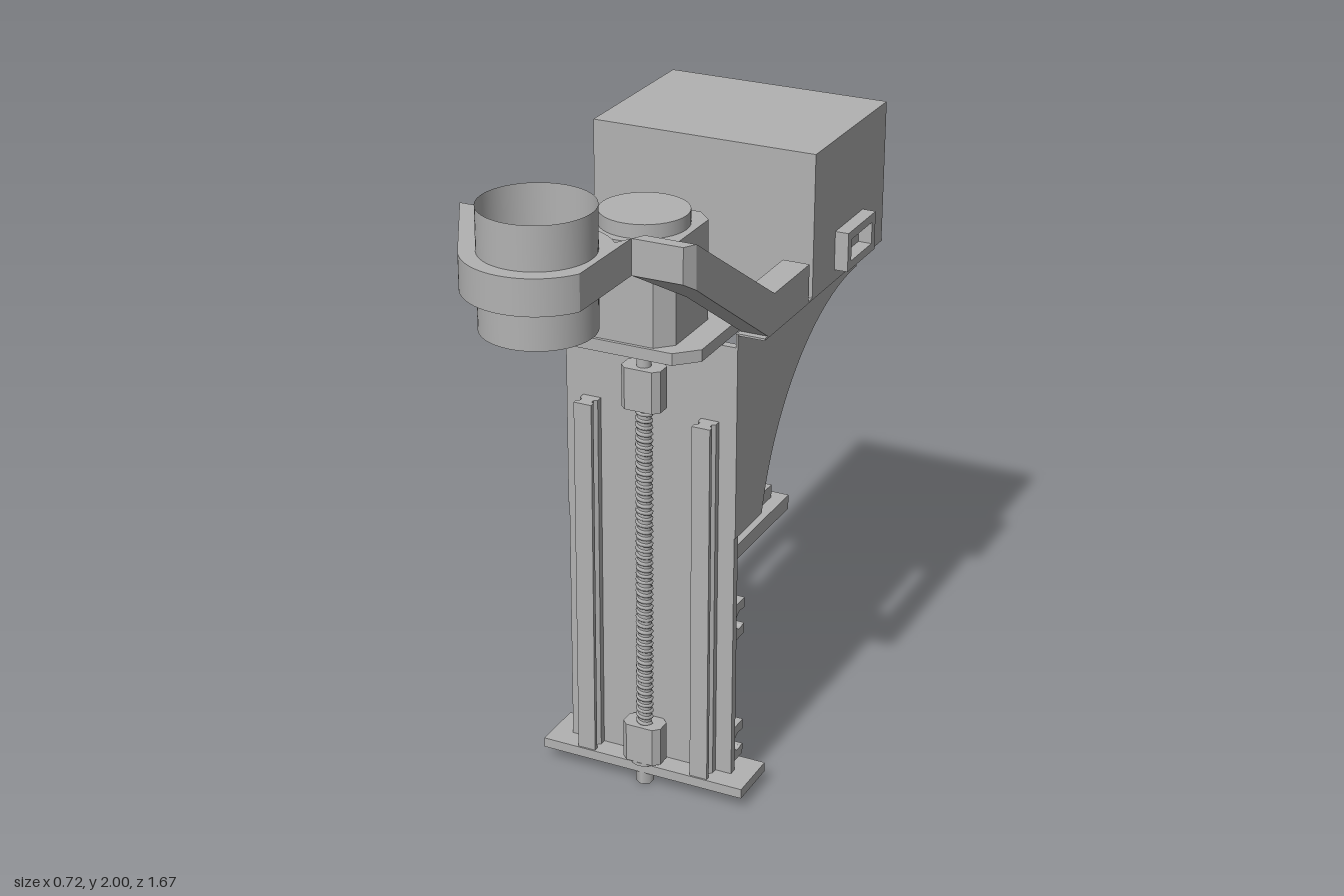
import * as THREE from 'three';

export function createModel() {
  const model = new THREE.Group();
  const body = new THREE.Group();
  body.name = 'machineBody';
  body.position.x = -0.02;
  model.add(body);
  const grey = new THREE.MeshStandardMaterial({ color: 0xb2b2b2, side: THREE.DoubleSide });
  grey.name = 'plainGrey';

  const add = (name, geo, x = 0, y = 0, z = 0) => {
    const m = new THREE.Mesh(geo, grey);
    m.name = name;
    m.position.set(x, y, z);
    body.add(m);
    return m;
  };
  // box from its limits
  const box = (name, x0, x1, y0, y1, z0, z1) =>
    add(name, new THREE.BoxGeometry(x1 - x0, y1 - y0, z1 - z0), (x0 + x1) / 2, (y0 + y1) / 2, (z0 + z1) / 2);
  // upright cylinder from its limits
  const cyl = (name, r, y0, y1, z, sides = 40) =>
    add(name, new THREE.CylinderGeometry(r, r, y1 - y0, sides), 0, (y0 + y1) / 2, z);
  const poly = (pts) => new THREE.Shape(pts.map(p => new THREE.Vector2(p[0], p[1])));
  const extrude = (shape, depth) =>
    new THREE.ExtrudeGeometry(shape, { depth, bevelEnabled: false, curveSegments: 40 });
  // plan outline (x, z) raised from y0 to y1
  const plan = (name, shape, y0, y1, x = 0, z = 0) =>
    add(name, extrude(shape, y1 - y0).rotateX(Math.PI / 2), x, y1, z);
  // side outline (z, y) spread from x0 to x1
  const side = (name, shape, x0, x1) =>
    add(name, extrude(shape, x1 - x0).rotateY(-Math.PI / 2), x1, 0, 0);
  // rectangle with cut corners
  const cutRect = (w, d, c) => poly([
    [w - c, -d], [w, -d + c], [w, d - c], [w - c, d],
    [-w + c, d], [-w, d - c], [-w, -d + c], [-w + c, -d]]);
  // rectangular frame
  const frame = (x0, x1, y0, y1, t) => {
    const s = poly([[x0, y0], [x1, y0], [x1, y1], [x0, y1]]);
    s.holes.push(poly([[x0 + t, y0 + t], [x0 + t, y1 - t], [x1 - t, y1 - t], [x1 - t, y0 + t]]));
    return s;
  };

  // column and foot
  box('basePlate', -0.3225, 0.3225, 0.04, 0.07, -0.095, 0.07);
  box('backPlate', -0.26, 0.26, 0.07, 1.42, -0.02, 0.005);

  // linear rails with a waisted section
  const railShape = poly([[-0.0275, 0], [0.0275, 0], [0.0275, 0.02], [0.018, 0.028], [0.018, 0.038],
    [0.0275, 0.046], [0.0275, 0.06], [-0.0275, 0.06], [-0.0275, 0.046], [-0.018, 0.038],
    [-0.018, 0.028], [-0.0275, 0.02]]);
  for (const s of [-1, 1]) plan('linearRail', railShape, 0.07, 1.19, s * 0.1825, 0.005);

  // lead screw with a helical thread
  const zs = 0.045;
  cyl('leadScrewCore', 0.02, 0.02, 1.25, zs, 20);
  class Helix extends THREE.Curve {
    getPoint(t, target = new THREE.Vector3()) {
      const a = t * 50 * Math.PI * 2;
      return target.set(0.02 * Math.cos(a), 0.2 + t * 1.01, 0.02 * Math.sin(a));
    }
  }
  add('leadScrewThread', new THREE.TubeGeometry(new Helix(), 800, 0.006, 5), 0, 0, zs);
  cyl('screwEnd', 0.026, 0, 0.04, zs, 6);
  plan('lowerBearing', cutRect(0.06, 0.038, 0.018), 0.08, 0.2, 0, zs);
  cyl('lowerCollar', 0.04, 0.07, 0.08, zs);
  plan('upperBearing', cutRect(0.06, 0.038, 0.018), 1.21, 1.335, 0, zs);
  cyl('motorShaft', 0.021, 1.335, 1.39, zs);
  cyl('shaftCollar', 0.038, 1.38, 1.426, zs);

  // rear clips with a round socket
  for (const y of [0.49, 0.085]) {
    const clip = new THREE.Shape();
    clip.moveTo(-0.02, y);
    clip.lineTo(-0.02, y + 0.115);
    clip.lineTo(-0.095, y + 0.115);
    clip.lineTo(-0.095, y + 0.083);
    clip.lineTo(-0.08, y + 0.083);
    clip.absarc(-0.066, y + 0.0575, 0.029, 2.07, -2.07, true);
    clip.lineTo(-0.08, y + 0.032);
    clip.lineTo(-0.095, y + 0.032);
    clip.lineTo(-0.095, y);
    for (const x of [-0.25, 0.1]) side('rearClip', clip, x, x + 0.15);
  }

  // curved sheet brackets with a flange along the top
  const bracket = new THREE.Shape();
  bracket.moveTo(0.005, 0.84);
  bracket.lineTo(0.005, 1.46);
  bracket.lineTo(-0.835, 1.46);
  bracket.lineTo(-0.835, 1.36);
  bracket.absarc(-0.835, 0.681, 0.679, Math.PI / 2, 0.236, true);
  for (const s of [-1, 1]) {
    side('sideBracket', bracket, s * 0.26 - 0.003, s * 0.26 + 0.003);
    box('bracketFlange', s * 0.3 - 0.04, s * 0.3 + 0.04, 1.454, 1.46, -0.835, 0);
  }

  // upper motor on its shelf
  plan('motorShelf', poly([[-0.22, -0.35], [0.22, -0.35], [0.22, 0.14], [0.16, 0.2],
    [-0.16, 0.2], [-0.22, 0.14]]), 1.425, 1.46);
  plan('upperMotor', cutRect(0.145, 0.145, 0.045), 1.46, 1.75, 0, 0.045);
  cyl('upperMotorCap', 0.125, 1.75, 1.79, 0.04);

  // lower motor, mounting plates and toothed pinion
  box('lowerMotorShelf', -0.22, 0.22, 0.715, 0.76, -0.465, -0.02);
  box('lowerMotorFlange', -0.18, 0.18, 0.76, 0.8, -0.43, -0.065);
  plan('lowerMotor', cutRect(0.105, 0.105, 0.035), 0.8, 1.065, 0, -0.255);
  cyl('lowerMotorCap', 0.08, 1.065, 1.11, -0.255);
  cyl('pinionShaft', 0.03, 0.7, 0.72, -0.26);
  const gear = new THREE.CylinderGeometry(0.096, 0.096, 0.095, 72, 4);
  const gp = gear.attributes.position;
  for (let i = 0; i < gp.count; i++) {
    const x = gp.getX(i), y = gp.getY(i), z = gp.getZ(i);
    if (Math.hypot(x, z) < 0.01) continue;
    const step = Math.round(Math.atan2(x, z) / (Math.PI / 36));
    const r = Math.abs(step) % 2 ? 0.087 : 0.096;
    const a = step * Math.PI / 36 + y * 4;
    gp.setXYZ(i, r * Math.sin(a), y, r * Math.cos(a));
  }
  const flatGear = gear.toNonIndexed();
  flatGear.computeVertexNormals();
  add('pinion', flatGear, 0, 0.6575, -0.26);

  // control box with recessed rear panel and side socket
  box('controlBox', -0.34, 0.34, 1.46, 1.88, -0.815, -0.32);
  add('rearPanelFrame', extrude(frame(-0.34, 0.34, 1.46, 1.88, 0.04), 0.016), 0, 0, -0.831);
  side('sideSocket', frame(-0.675, -0.475, 1.49, 1.605, 0.025), 0.34, 0.38);

  // ring of the holder
  const ring = new THREE.Shape();
  ring.moveTo(0.32, 0.465);
  ring.absarc(0, 0.635, 0.197, Math.PI / 6, Math.PI * 5 / 6, false);
  ring.lineTo(-0.32, 0.465);
  ring.lineTo(-0.176, 0.465);
  ring.absarc(0, 0.635, 0.197, -2.447, -0.695, false);
  ring.lineTo(0.176, 0.465);
  const hole = new THREE.Path();
  hole.absarc(0, 0.635, 0.153, 0, Math.PI * 2, true);
  ring.holes.push(hole);
  plan('holderRing', ring, 1.78, 1.88);
  add('holderTube', new THREE.CylinderGeometry(0.153, 0.153, 0.33, 64, 1, true), 0, 1.835, 0.635);

  // cranked arms lofted through rectangles: z, inner x, outer x, bottom, top
  const sections = [
    [0.465, 0.176, 0.32, 1.78, 1.88], [0.43, 0.196, 0.34, 1.757, 1.88],
    [0.32, 0.26, 0.34, 1.684, 1.81], [-0.02, 0.26, 0.34, 1.46, 1.595],
    [-0.06, 0.26, 0.34, 1.46, 1.57], [-0.295, 0.26, 0.34, 1.46, 1.57]];
  for (const s of [-1, 1]) {
    const pos = [], idx = [];
    sections.forEach(([z, xi, xo, yb, yt], k) => {
      const [a, b] = s > 0 ? [xi, xo] : [-xo, -xi];
      pos.push(a, yb, z, b, yb, z, b, yt, z, a, yt, z);
      if (k === 0) return;
      for (let i = 0; i < 4; i++) {
        const j = (i + 1) % 4, p = (k - 1) * 4, q = k * 4;
        idx.push(p + i, q + i, p + j, p + j, q + i, q + j);
      }
    });
    const e = (sections.length - 1) * 4;
    idx.push(0, 1, 2, 0, 2, 3, e, e + 2, e + 1, e, e + 3, e + 2);
    const g = new THREE.BufferGeometry();
    g.setAttribute('position', new THREE.Float32BufferAttribute(pos, 3));
    g.setIndex(idx);
    const flat = g.toNonIndexed();
    flat.computeVertexNormals();
    add(s > 0 ? 'leftArm' : 'rightArm', flat);
  }
  return model;
}
